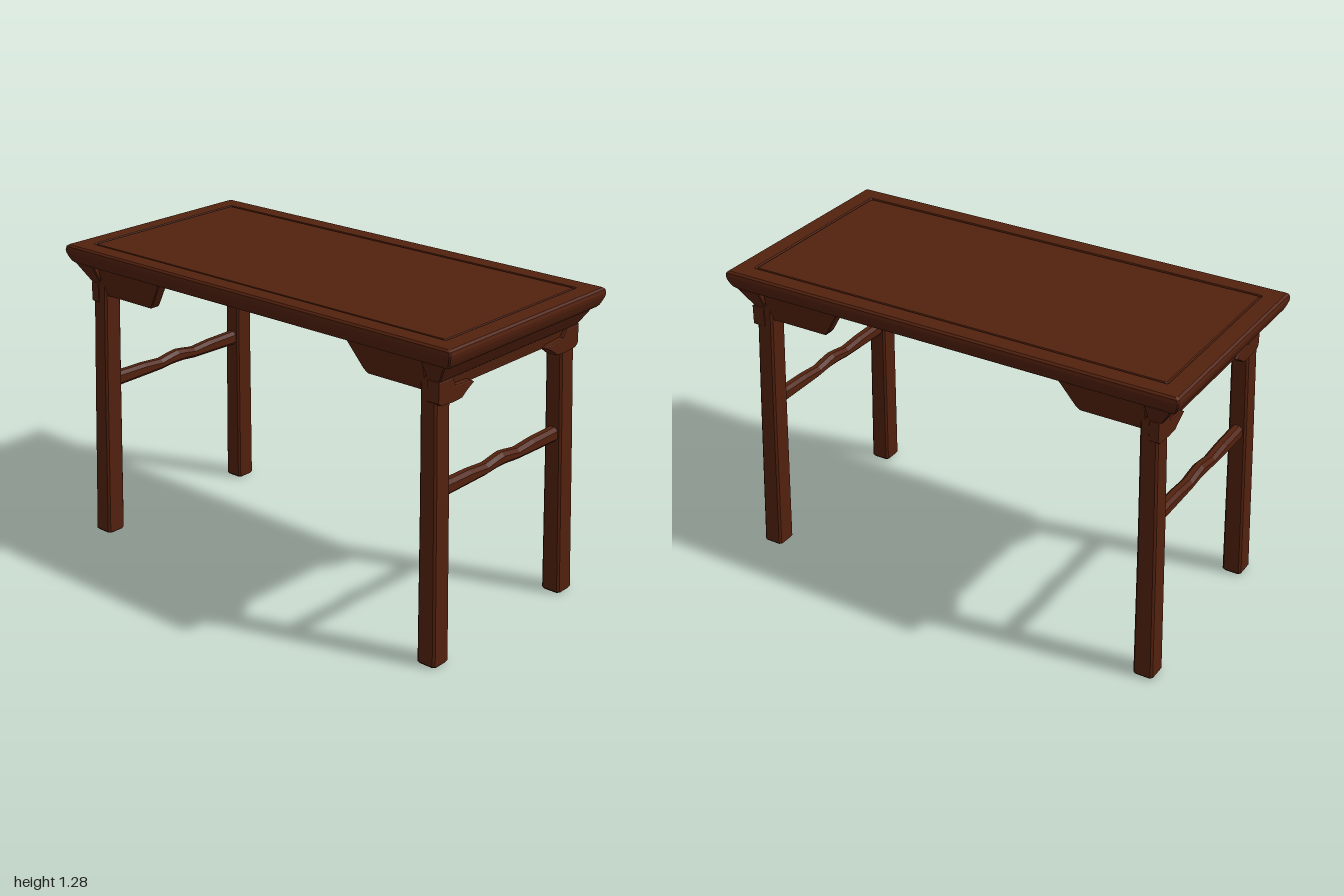
import * as THREE from 'three';

// Cross-section at height y: a chamfered rectangle between two x and two z limits.
function section(y, xa, xb, za, zb, c = 0.004) {
  const [x0, x1] = [Math.min(xa, xb), Math.max(xa, xb)];
  const [z0, z1] = [Math.min(za, zb), Math.max(za, zb)];
  return [
    [x0 + c, y, z1], [x1 - c, y, z1], [x1, y, z1 - c], [x1, y, z0 + c],
    [x1 - c, y, z0], [x0 + c, y, z0], [x0, y, z0 + c], [x0, y, z1 - c],
  ];
}

// Solid through a stack of sections, capped at both ends, with crisp faces.
function loft(sections) {
  const pos = [];
  const tri = (a, b, c) => pos.push(...a, ...b, ...c);
  for (let s = 0; s < sections.length - 1; s++) {
    const a = sections[s], b = sections[s + 1];
    for (let i = 0; i < 8; i++) {
      const j = (i + 1) % 8;
      tri(a[i], a[j], b[j]);
      tri(a[i], b[j], b[i]);
    }
  }
  const first = sections[0], last = sections[sections.length - 1];
  for (let i = 1; i < 7; i++) {
    tri(first[0], first[i + 1], first[i]);
    tri(last[0], last[i], last[i + 1]);
  }
  const g = new THREE.BufferGeometry();
  g.setAttribute('position', new THREE.Float32BufferAttribute(pos, 3));
  g.computeVertexNormals();
  return g;
}

export function createModel() {
  const wood = new THREE.MeshStandardMaterial({ color: 0x52210e });
  wood.name = 'dark red wood';
  const table = new THREE.Group();
  table.name = 'table';
  const add = (name, geometry) => {
    const m = new THREE.Mesh(geometry, wood);
    m.name = name;
    table.add(m);
    return m;
  };

  // Top with moulded edge and a shallow groove around the centre panel: [inset, y]
  const topProfile = [
    [0.026, 1.207], [0.016, 1.217], [0.009, 1.232], [0.002, 1.25], [0, 1.265],
    [0.003, 1.278], [0.012, 1.285], [0.082, 1.285], [0.085, 1.279],
    [0.09, 1.279], [0.093, 1.284],
  ];
  add('tableTop', loft(topProfile.map(([d, y]) =>
    section(y, -0.49 + d, 0.49 - d, -1 + d, 1 - d, 0.005))));

  for (const sz of [1, -1]) {
    const end = sz > 0 ? 'front' : 'back';

    // Flared apron across each short end
    add(end + 'Apron', loft([
      section(1.08, -0.42, 0.42, sz * 0.855, sz * 0.892),
      section(1.125, -0.428, 0.428, sz * 0.855, sz * 0.9),
      section(1.135, -0.432, 0.432, sz * 0.855, sz * 0.915),
      section(1.21, -0.47, 0.47, sz * 0.855, sz * 0.962),
    ]));

    // Gently waved stretcher, lofted upright and laid along x: [x, middle, half height]
    const wave = [
      [-0.38, 0.69, 0.031], [-0.2, 0.69, 0.028], [-0.1, 0.687, 0.023],
      [-0.04, 0.695, 0.025], [0, 0.698, 0.027], [0.04, 0.695, 0.025],
      [0.1, 0.687, 0.023], [0.2, 0.69, 0.028], [0.38, 0.69, 0.031],
    ];
    const rail = loft(wave.map(([x, m, h]) =>
      section(x, m - h, m + h, sz * 0.85, sz * 0.9, 0.014)));
    // Rotating -90 degrees about z takes (y, x) to (x, -y); a half turn about x rights it
    rail.rotateZ(-Math.PI / 2);
    rail.rotateX(Math.PI);
    rail.scale(1, 1, 1);
    rail.translate(0, 0, sz * 1.75);
    add(end + 'Stretcher', rail);

    for (const sx of [1, -1]) {
      const side = sx > 0 ? 'Left' : 'Right';

      // Splayed leg
      add(end + side + 'Leg', loft([
        section(0, sx * 0.368, sx * 0.446, sz * 0.856, sz * 0.932, 0.01),
        section(0.008, sx * 0.362, sx * 0.453, sz * 0.852, sz * 0.936, 0.008),
        section(0.66, sx * 0.353, sx * 0.441, sz * 0.838, sz * 0.915, 0.008),
        section(1.21, sx * 0.347, sx * 0.431, sz * 0.822, sz * 0.895, 0.008),
      ]));

      // Leaning bracket under the long edge
      add(end + side + 'SideBracket', loft([
        section(1.083, sx * 0.375, sx * 0.42, sz * 0.57, sz * 0.85),
        section(1.1, sx * 0.38, sx * 0.426, sz * 0.555, sz * 0.85),
        section(1.21, sx * 0.4, sx * 0.45, sz * 0.485, sz * 0.85),
      ]));

      // Shaped corner bracket on the short end
      const pts = [
        [0.434, 1.13], [0.434, 1.055], [0.42, 1.045], [0.35, 1.04], [0.3, 1.043],
        [0.28, 1.058], [0.255, 1.073], [0.235, 1.083], [0.25, 1.09], [0.34, 1.095],
        [0.36, 1.13],
      ].map(([x, y]) => new THREE.Vector2(sx * x, y));
      const depth = sz > 0 ? 0.045 : 0.03;
      const bracket = new THREE.ExtrudeGeometry(new THREE.Shape(pts), {
        depth, bevelEnabled: true, bevelSize: 0.004, bevelThickness: 0.006, bevelSegments: 2,
      });
      bracket.translate(0, 0, sz > 0 ? 0.866 : -0.9);
      add(end + side + 'CornerBracket', bracket);
    }
  }
  return table;
}
